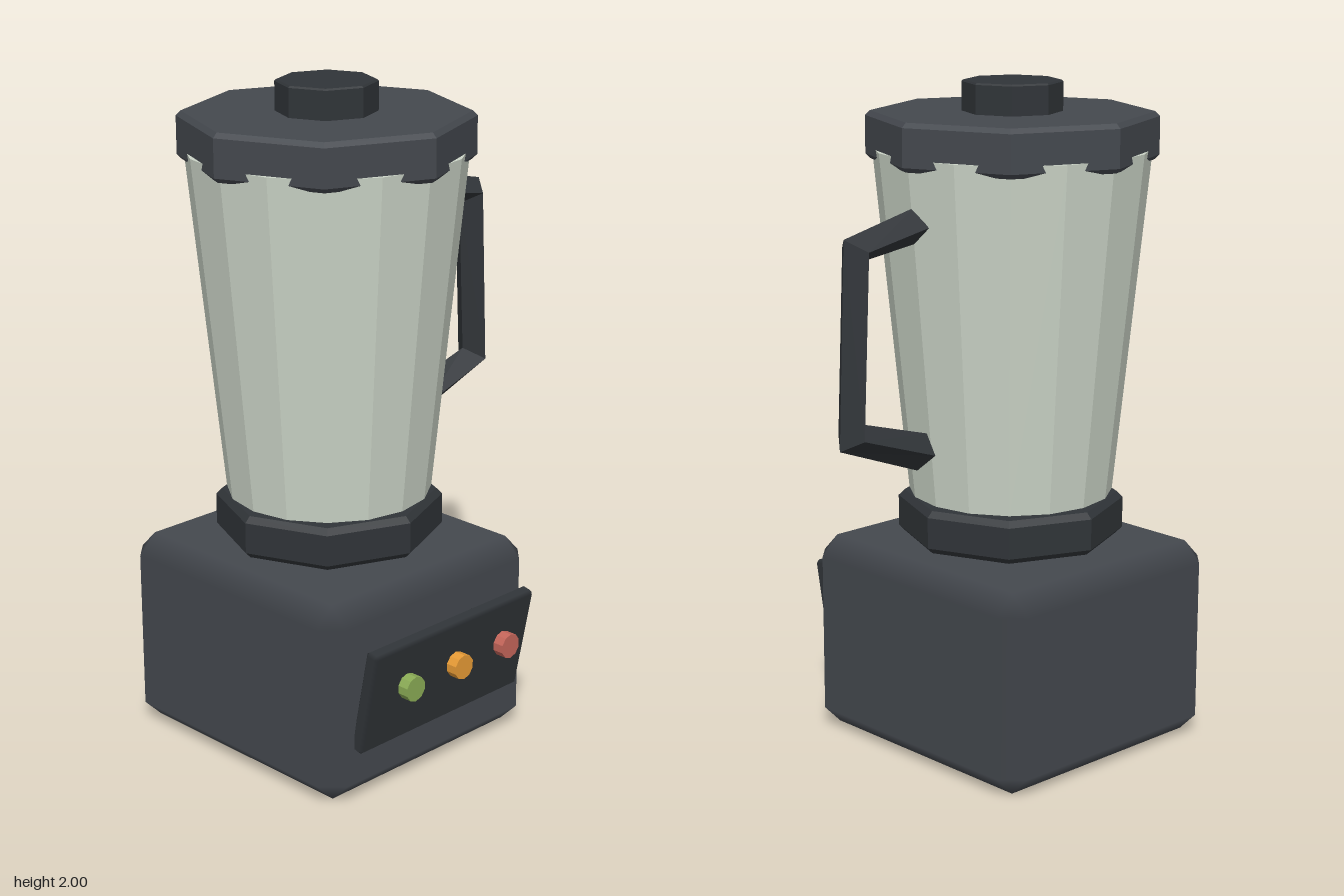
import * as THREE from 'three';
import { ConvexGeometry } from 'three/addons/geometries/ConvexGeometry.js';

const CX = -0.125, CZ = -0.055; // vertical axis of the jug and base

const mat = (color, opts = {}) => new THREE.MeshStandardMaterial({ color, ...opts });

function add(parent, name, geometry, material, x = 0, y = 0, z = 0) {
  const mesh = new THREE.Mesh(geometry, material);
  mesh.name = name;
  mesh.position.set(x, y, z);
  parent.add(mesh);
  return mesh;
}

// Box with every edge chamfered; normals follow the big faces so chamfers blend softly
function chamferBox(w, h, d, c) {
  const half = [w / 2, h / 2, d / 2];
  const points = [];
  for (let axis = 0; axis < 3; axis++)
    for (const sx of [-1, 1]) for (const sy of [-1, 1]) for (const sz of [-1, 1])
      points.push(new THREE.Vector3(...[sx, sy, sz].map((s, i) => s * (half[i] - (i === axis ? 0 : c)))));
  const geo = new ConvexGeometry(points);
  const pos = geo.attributes.position, nor = geo.attributes.normal;
  for (let i = 0; i < pos.count; i++) {
    const p = [pos.getX(i), pos.getY(i), pos.getZ(i)];
    nor.setXYZ(i, ...p.map((v, k) => (Math.abs(Math.abs(v) - half[k]) < 1e-5 ? Math.sign(v) : 0)));
  }
  return geo;
}

// Eight-sided disc with bevelled rims, corners on the axes
function octagon(r, y0, y1, b) {
  const profile = [[0, y0], [r - b, y0], [r, y0 + b], [r, y1 - b], [r - b, y1], [0, y1]];
  return new THREE.LatheGeometry(profile.map(([x, y]) => new THREE.Vector2(x, y)), 8);
}

// Diamond-section bar lofted through pairs of outer and inner ridge points
function handleBar(outer, inner, halfWidth) {
  const verts = [], index = [];
  outer.forEach(([ox, oy], i) => {
    const [ix, iy] = inner[i], mx = (ox + ix) / 2, my = (oy + iy) / 2;
    verts.push(ox, oy, 0, mx, my, halfWidth, ix, iy, 0, mx, my, -halfWidth);
  });
  for (let i = 0; i < outer.length - 1; i++)
    for (let k = 0; k < 4; k++) {
      const a = i * 4 + k, b = i * 4 + (k + 1) % 4;
      index.push(a, b, a + 4, b, b + 4, a + 4);
    }
  const e = (outer.length - 1) * 4;
  index.push(0, 2, 1, 0, 3, 2, e, e + 1, e + 2, e, e + 2, e + 3);
  const geo = new THREE.BufferGeometry();
  geo.setAttribute('position', new THREE.Float32BufferAttribute(verts, 3));
  geo.setIndex(index);
  geo.computeVertexNormals();
  return geo;
}

export function createModel() {
  const model = new THREE.Group();
  model.name = 'blender';
  const body = mat(0x44484e);
  const bodyFlat = mat(0x44484e, { flatShading: true });
  const darkFlat = mat(0x303438, { flatShading: true });
  const glass = mat(0xccd5c8, { flatShading: true, side: THREE.DoubleSide });

  // Motor base
  add(model, 'base', chamferBox(0.85, 0.61, 0.89, 0.06), body, CX, 0.305, CZ);

  // Tilted control panel
  const panel = add(model, 'controlPanel', chamferBox(0.67, 0.335, 0.045, 0.01), mat(0x303438), CX, 0.325, 0.425);
  panel.rotation.x = 0.195;

  // Push buttons
  const buttons = new THREE.Group();
  buttons.name = 'buttons';
  model.add(buttons);
  [['greenButton', 0x8aab55], ['orangeButton', 0xe69a35], ['redButton', 0xc4655a]].forEach(([name, color], i) => {
    const geo = new THREE.CylinderGeometry(0.038, 0.038, 0.035, 10).rotateX(Math.PI / 2);
    add(buttons, name, geo, mat(color, { flatShading: true }), CX + (i - 1) * 0.202, 0.355, 0.488);
  });

  // Collar, jar, lid and knob stacked on one axis
  add(model, 'collar', octagon(0.34, 0.63, 0.76, 0.018), darkFlat, CX, 0, CZ);
  add(model, 'jar', new THREE.CylinderGeometry(0.411, 0.307, 1.035, 16), glass, CX, 1.2875, CZ);
  add(model, 'lid', octagon(0.43, 1.77, 1.91, 0.014), bodyFlat, CX, 0, CZ);
  add(model, 'lidKnob', octagon(0.148, 1.9, 2.0, 0.005), darkFlat, CX, 0, CZ);

  // Handle on the left side
  const outer = [[0.265, 1.667], [0.523, 1.607], [0.547, 1.005], [0.255, 0.895]];
  const inner = [[0.25, 1.565], [0.437, 1.54], [0.46, 1.07], [0.217, 1.0]];
  add(model, 'handle', handleBar(outer, inner, 0.0575), darkFlat, 0, 0, CZ);

  return model;
}
